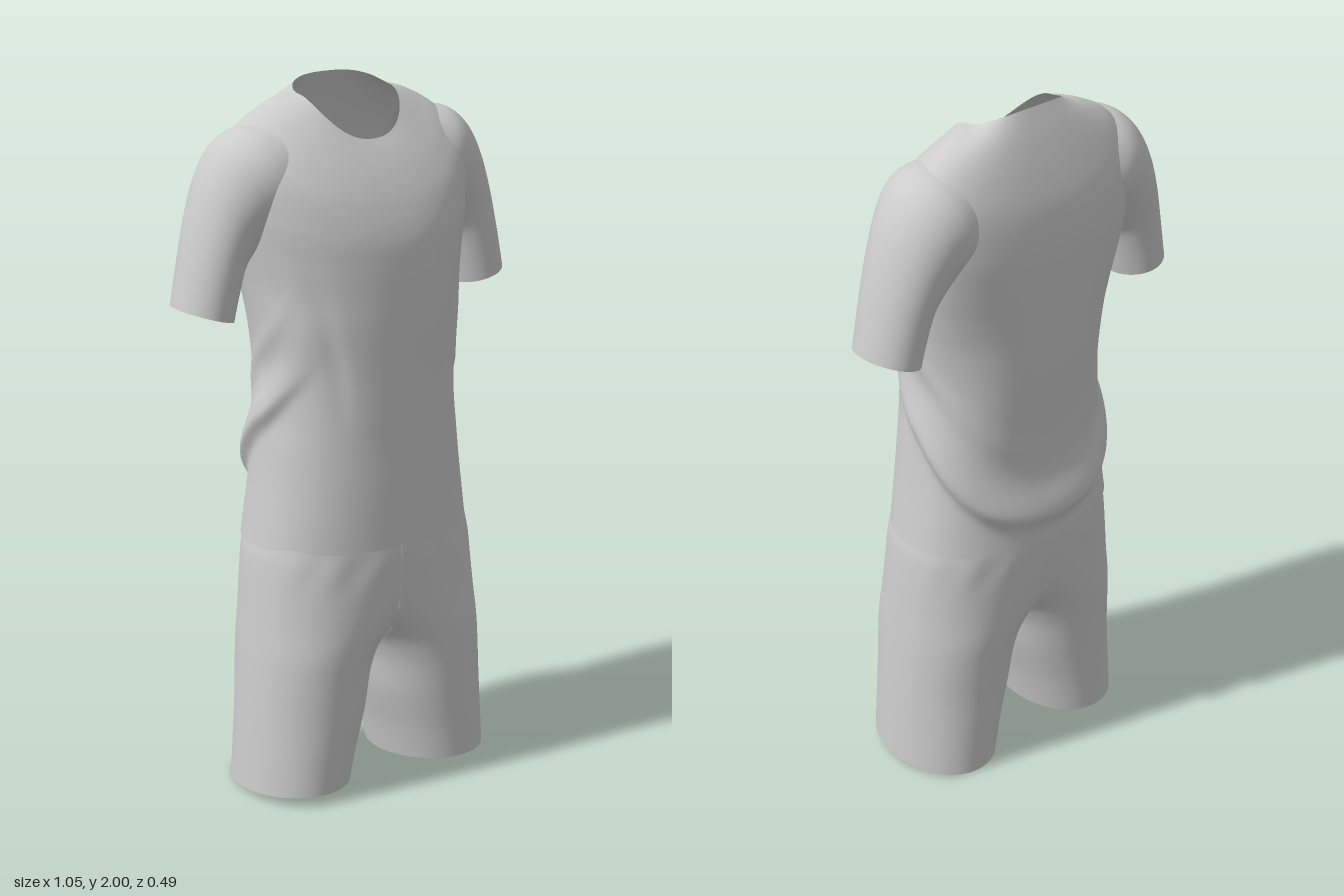
import * as THREE from 'three';

const fabric = new THREE.MeshStandardMaterial({ color: 0xcccccc, side: THREE.DoubleSide });
fabric.name = 'light grey fabric';

// Smooth interpolation of a table of section rows, t in 0..1
function sampleRows(rows, t) {
  const f = t * (rows.length - 1);
  const i = Math.min(Math.floor(f), rows.length - 2);
  const u = f - i;
  const at = k => rows[Math.max(0, Math.min(rows.length - 1, k))];
  const [p, a, b, q] = [at(i - 1), at(i), at(i + 1), at(i + 2)];
  return a.map((v, k) => {
    const m0 = (b[k] - p[k]) / 2, m1 = (q[k] - v) / 2, d = b[k] - v;
    return v + u * (m0 + u * (3 * d - 2 * m0 - m1 + u * (m0 + m1 - 2 * d)));
  });
}

// Open tube through closed sections, rows ordered bottom to top
function loft(name, rows, steps, seg, point, side = 1) {
  const pos = [], idx = [];
  for (let i = 0; i <= steps; i++) {
    const row = sampleRows(rows, i / steps);
    for (let j = 0; j < seg; j++) {
      const [x, y, z] = point(row, (j / seg) * Math.PI * 2);
      pos.push(x * side, y, z);
    }
  }
  const tri = (a, b, c) => {
    // leave out the hidden wall where two halves meet on the centre line
    if ([a, b, c].every(k => Math.abs(pos[k * 3]) < 1e-6)) return;
    if (side > 0) idx.push(a, b, c); else idx.push(a, c, b);
  };
  for (let i = 0; i < steps; i++) {
    for (let j = 0; j < seg; j++) {
      const a = i * seg + j, b = i * seg + (j + 1) % seg;
      tri(a, a + seg, b);
      tri(b, a + seg, b + seg);
    }
  }
  const g = new THREE.BufferGeometry();
  g.setAttribute('position', new THREE.Float32BufferAttribute(pos, 3));
  g.setIndex(idx);
  g.computeVertexNormals();
  const mesh = new THREE.Mesh(g, fabric);
  mesh.name = name;
  return mesh;
}

const power = (v, e) => Math.sign(v) * Math.pow(Math.abs(v), e);

// Shirt body: half width, side y, side z, front y, front z, back y, back z
const level = (y, w, zf, zb) => [w, y, 0, y, zf, y, zb];
const bodyRows = [
  level(0.735, 0.335, 0.246, -0.222),
  level(0.82, 0.323, 0.245, -0.215),
  level(0.92, 0.309, 0.243, -0.207),
  level(1.02, 0.298, 0.24, -0.208),
  level(1.12, 0.287, 0.24, -0.217),
  level(1.24, 0.285, 0.24, -0.228),
  level(1.36, 0.3, 0.24, -0.235),
  [0.315, 1.47, -0.03, 1.44, 0.238, 1.46, -0.238],
  [0.335, 1.58, -0.05, 1.52, 0.234, 1.55, -0.24],
  [0.353, 1.70, -0.06, 1.60, 0.225, 1.65, -0.24],
  [0.352, 1.83, -0.068, 1.68, 0.2, 1.75, -0.227],
  [0.295, 1.902, -0.075, 1.75, 0.167, 1.84, -0.2],
  [0.21, 1.948, -0.07, 1.81, 0.13, 1.93, -0.165],
  [0.146, 1.964, -0.04, 1.85, 0.1, 2.0, -0.132],
];

function bodyPoint([w, ys, zs, yf, zf, yb, zb], a) {
  const c = Math.cos(a), s = Math.sin(a), n = Math.abs(s);
  const y = ys + (s > 0 ? (yf - ys) * Math.pow(n, 1.6) : (yb - ys) * Math.pow(n, 1.15));
  // broader, flatter back across the shoulder blades
  const e = s < 0 ? 0.86 - 0.1 * THREE.MathUtils.smoothstep(ys, 1.35, 1.7) : 0.86;
  // sagging fold: low across the back, climbing round each side
  const ridge = s < 0 ? 1.1 - 0.275 * n : 1.1 + 0.28 * s;
  const d = y - ridge;
  const fade = 1 - THREE.MathUtils.smoothstep(s, -0.1, 0.75);
  const puff = 0.028 * fade * Math.exp(-Math.pow(d / (d > 0 ? 0.085 : 0.035), 2));
  // soft secondary pleat above the fold
  const pleat = 0.007 * fade * Math.exp(-Math.pow((d - 0.2) / 0.04, 2)) * (1 - n * 0.7);
  // shallow drape lines from the chest to the waist
  const lines = -0.008 * (s > 0 ? 1 : 0) * Math.exp(-Math.pow((Math.abs(c) - 0.62 - (y - 1.3) * 0.5) / 0.1, 2))
    * Math.exp(-Math.pow((y - 1.3) / 0.17, 2));
  const out = puff + pleat + lines;
  const x = w * power(c, e) + out * c;
  const z = zs + (s > 0 ? zf - zs : zs - zb) * power(s, e) + out * s;
  return [x, y, z];
}

// Sleeve: outer x, y, inner x, y, front z, back z; the cap widens into the shoulder
const sleeveRows = [
  [0.527, 1.422, 0.37, 1.375, 0.05, -0.16],
  [0.502, 1.54, 0.352, 1.45, 0.054, -0.167],
  [0.472, 1.66, 0.335, 1.51, 0.06, -0.178],
  [0.437, 1.765, 0.31, 1.545, 0.07, -0.19],
  [0.39, 1.845, 0.275, 1.58, 0.088, -0.202],
  [0.33, 1.888, 0.22, 1.6, 0.105, -0.206],
  [0.25, 1.898, 0.16, 1.62, 0.1, -0.185],
];

function sleevePoint([xo, yo, xi, yi, zf, zb], a) {
  const c = Math.cos(a);
  return [
    (xo + xi) / 2 + c * (xo - xi) / 2,
    (yo + yi) / 2 + c * (yo - yi) / 2,
    (zf + zb) / 2 + Math.sin(a) * (zf - zb) / 2,
  ];
}

// Shorts leg: y, outer x, inner x, front z, back z, hem tilt
const legRows = [
  [0.016, 0.39, 0.077, 0.227, -0.172, 0.016],
  [0.12, 0.384, 0.055, 0.23, -0.174, 0.005],
  [0.24, 0.377, 0.024, 0.234, -0.178, 0],
  [0.36, 0.369, 0.004, 0.237, -0.186, 0],
  [0.44, 0.363, -0.035, 0.24, -0.194, 0],
  [0.52, 0.356, -0.13, 0.242, -0.202, 0],
  [0.62, 0.348, -0.25, 0.244, -0.212, 0],
  [0.7, 0.34, -0.32, 0.245, -0.219, 0],
  [0.75, 0.329, -0.329, 0.243, -0.219, 0],
];

function legPoint([y, xo, xi, zf, zb, tilt], a) {
  const c = Math.cos(a), s = Math.sin(a);
  // round at the hem, squarer towards the waist
  const e = 0.98 - 0.12 * THREE.MathUtils.smoothstep(y, 0.2, 0.7);
  const x = (xo + xi) / 2 + power(c, e) * (xo - xi) / 2;
  // small gathers under the shirt hem
  const gather = 0.003 * Math.sin(a * 14) * Math.exp(-Math.pow((y - 0.68) / 0.05, 2));
  const z = (zf + zb) / 2 + power(s, e) * ((zf - zb) / 2 + gather);
  return [Math.max(0, x), y + tilt * s, z];
}

export function createModel() {
  const model = new THREE.Group();
  model.name = 'sportsOutfit';

  const shirt = new THREE.Group();
  shirt.name = 'shirt';
  shirt.add(loft('shirtBody', bodyRows, 130, 128, bodyPoint));

  const shorts = new THREE.Group();
  shorts.name = 'shorts';

  for (const [label, side] of [['left', 1], ['right', -1]]) {
    shirt.add(loft(label + 'Sleeve', sleeveRows, 36, 56, sleevePoint, side));
    shorts.add(loft(label + 'ShortsLeg', legRows, 64, 112, legPoint, side));
  }

  model.add(shirt, shorts);
  return model;
}
